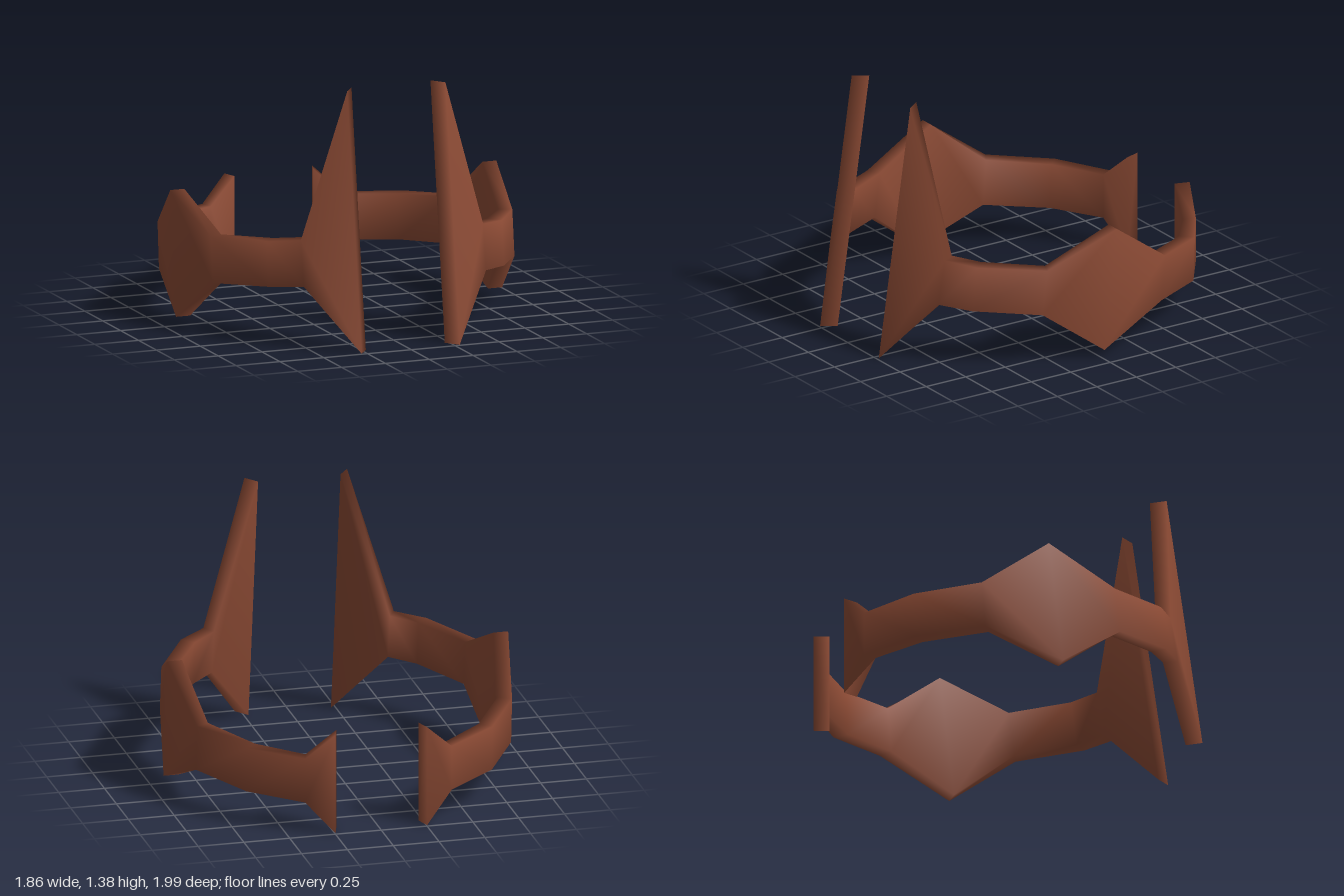
import * as THREE from 'three';

// Cross-sections of one half, back to front:
// [outer x, outer z, inner x, inner z, top y, bottom y, lean of the section in z]
const SECTIONS = [
  [0.25, -1.0, 0.225, -0.92, 0.56, 0.01, 0],
  [0.40, -0.94, 0.38, -0.87, 0.42, 0.175, 0],
  [0.67, -0.75, 0.61, -0.69, 0.44, 0.195, 0.005],
  [0.86, -0.43, 0.79, -0.39, 0.47, 0.22, 0.01],
  [0.93, -0.05, 0.85, -0.05, 0.72, 0.05, 0.04],
  [0.86, 0.32, 0.79, 0.29, 0.545, 0.30, 0.015],
  [0.67, 0.64, 0.61, 0.575, 0.57, 0.33, 0.015],
  [0.52, 0.75, 0.48, 0.68, 0.585, 0.342, 0.02],
  [0.28, 0.89, 0.225, 0.815, 1.385, 0.005, 0.10],
];

// Four-cornered bar swept through the sections; side is +1 or -1
function halfRing(side) {
  const pos = [];
  const index = [];
  const tri = (a, b, c) => (side > 0 ? index.push(a, b, c) : index.push(a, c, b));
  const quad = (a, b, c, d) => { tri(a, b, c); tri(a, c, d); };
  for (const [ox, oz, ix, iz, top, bottom, lean] of SECTIONS) {
    pos.push(side * ox, top, oz - lean, side * ox, bottom, oz + lean);
    pos.push(side * ix, bottom, iz + lean, side * ix, top, iz - lean);
  }
  const last = (SECTIONS.length - 1) * 4;
  for (let i = 0; i < last; i += 4) {
    for (let c = 0; c < 4; c++) {
      const n = (c + 1) % 4;
      quad(i + c, i + 4 + c, i + 4 + n, i + n);
    }
  }
  // End faces
  quad(0, 1, 2, 3);
  quad(last + 3, last + 2, last + 1, last);
  const geometry = new THREE.BufferGeometry();
  geometry.setAttribute('position', new THREE.Float32BufferAttribute(pos, 3));
  geometry.setIndex(index);
  geometry.computeVertexNormals();
  return geometry;
}

export function createModel() {
  const model = new THREE.Group();
  model.name = 'splitRing';
  const material = new THREE.MeshStandardMaterial({ color: 0x8b4a34 });
  material.name = 'reddish brown';
  for (const side of [1, -1]) {
    const mesh = new THREE.Mesh(halfRing(side), material);
    mesh.name = side > 0 ? 'leftHalf' : 'rightHalf';
    model.add(mesh);
  }
  return model;
}
